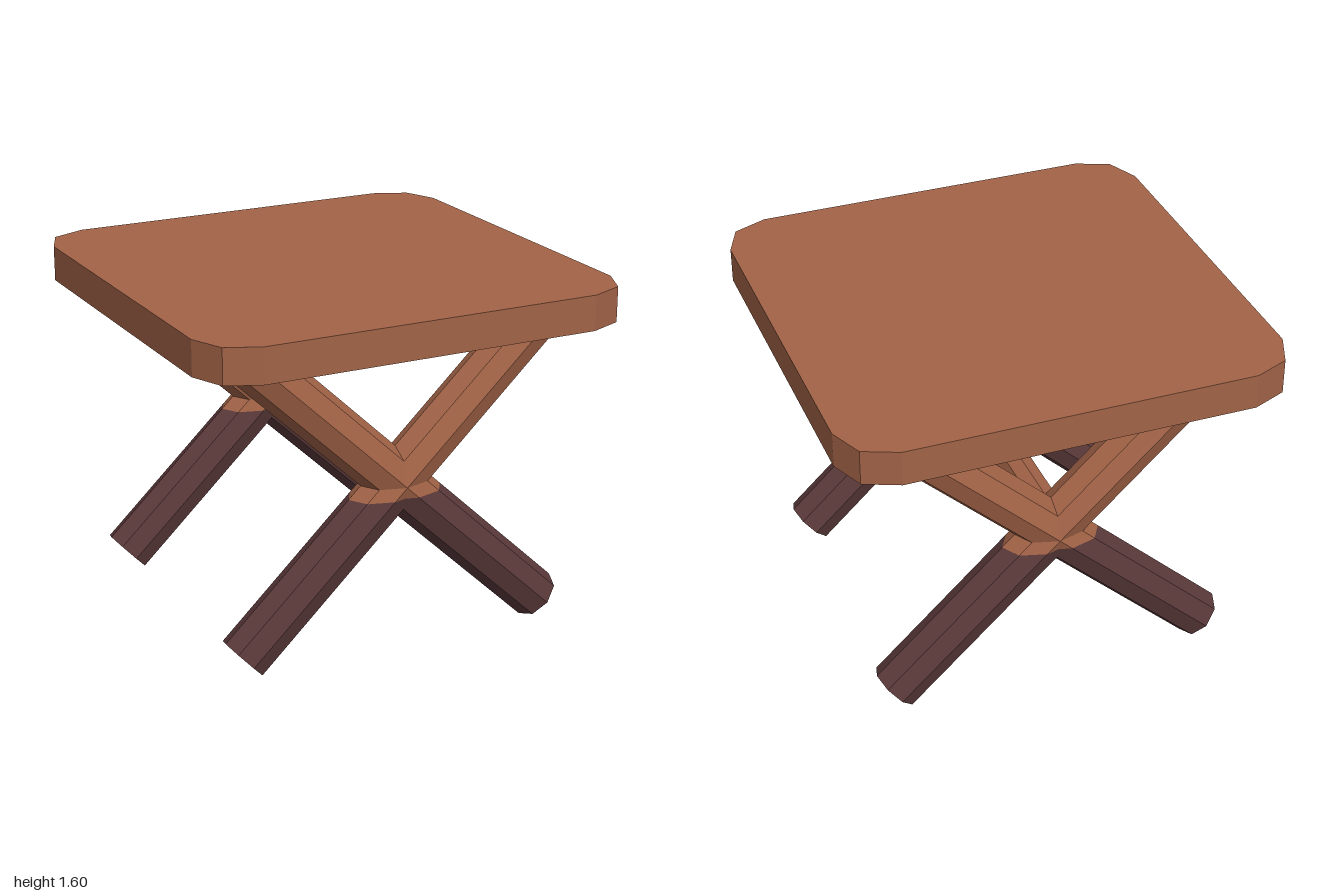
import * as THREE from 'three';

export function createModel() {
  const group = new THREE.Group();
  group.name = 'foldingStool';

  const wood = new THREE.MeshStandardMaterial({ color: 0xa26347, flatShading: true });
  wood.name = 'wood';
  const darkWood = new THREE.MeshStandardMaterial({ color: 0x5b393a, flatShading: true });
  darkWood.name = 'dark stained wood';

  const add = (name, geometry, material, parent = group) => {
    const mesh = new THREE.Mesh(geometry, material);
    mesh.name = name;
    parent.add(mesh);
    return mesh;
  };

  // Seat: square slab with two-step clipped corners
  const corner = [[1, 0.78], [0.935, 0.935], [0.78, 1]];
  const outline = [];
  for (let i = 0; i < 4; i++) {
    const c = Math.round(Math.cos(i * Math.PI / 2));
    const s = Math.round(Math.sin(i * Math.PI / 2));
    for (const [x, y] of corner) outline.push(new THREE.Vector2(x * c - y * s, x * s + y * c));
  }
  const seatGeometry = new THREE.ExtrudeGeometry(new THREE.Shape(outline), { depth: 0.16, bevelEnabled: false });
  seatGeometry.rotateX(-Math.PI / 2);
  add('seat', seatGeometry, wood).position.y = 1.445;

  // Crossed legs: octagonal bars, stained below a level line
  const radius = 0.115, halfLength = 1.016, crossY = 0.785, stainY = 0.73;
  const tilt = Math.atan2(1.48, 1.393);

  // One piece of a leg, from its square-cut end to the level stain line
  function legPiece(angle, isLower) {
    const geometry = new THREE.CylinderGeometry(radius, radius, 1, 8).toNonIndexed();
    const pos = geometry.attributes.position;
    for (let i = 0; i < pos.count; i++) {
      const atStain = (pos.getY(i) > 0) === isLower;
      const cut = (stainY - crossY + pos.getX(i) * Math.sin(angle)) / Math.cos(angle);
      pos.setY(i, atStain ? cut : isLower ? -halfLength : halfLength);
    }
    geometry.computeVertexNormals();
    return geometry;
  }

  for (const [pairName, z] of [['front', 0.66], ['back', -0.655]]) {
    for (const side of [1, -1]) {
      const leg = new THREE.Group();
      leg.name = pairName + (side > 0 ? 'LeftTopLeg' : 'RightTopLeg');
      leg.position.set(0, crossY, z);
      leg.rotation.z = -side * tilt;
      add('upperLeg', legPiece(side * tilt, false), wood, leg);
      add('lowerLeg', legPiece(side * tilt, true), darkWood, leg);
      group.add(leg);
    }
  }

  // Stretcher joining the two leg pairs
  const stretcher = add('stretcher', new THREE.CylinderGeometry(0.08, 0.08, 1.3, 8), wood);
  stretcher.rotation.x = Math.PI / 2;
  stretcher.position.y = 0.83;

  return group;
}
